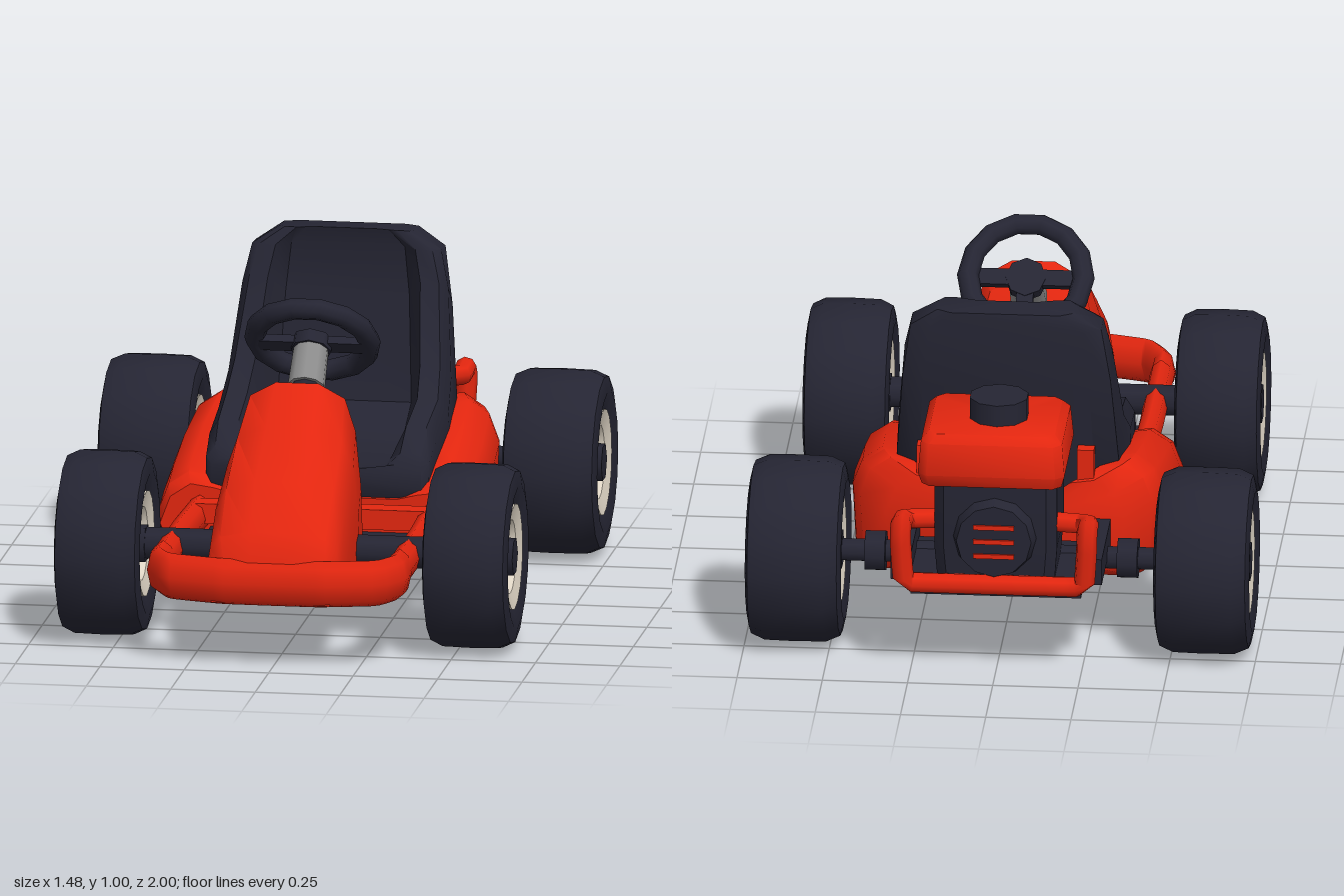
import * as THREE from 'three';
import { toCreasedNormals } from 'three/addons/utils/BufferGeometryUtils.js';

const paint = (name, color) => {
  const m = new THREE.MeshStandardMaterial({ color });
  m.name = name;
  return m;
};

// Closed skin over rings of [x, y, z] points, with fan caps at both ends
function loft(rings, crease = 0.75) {
  const tris = [], n = rings[0].length;
  rings.slice(1).forEach((b, k) => {
    const a = rings[k];
    for (let i = 0; i < n; i++) {
      const j = (i + 1) % n;
      tris.push([a[i], a[j], b[j]], [a[i], b[j], b[i]]);
    }
  });
  const cap = (r, flip) => {
    const c = [0, 1, 2].map(k => r.reduce((s, p) => s + p[k], 0) / n);
    r.forEach((p, i) => {
      const q = r[(i + 1) % n];
      tris.push(flip ? [c, q, p] : [c, p, q]);
    });
  };
  cap(rings[0], true);
  cap(rings[rings.length - 1], false);
  // turn all faces outward, judged by the enclosed volume
  const v = p => new THREE.Vector3(...p);
  const volume = tris.reduce((s, [a, b, c]) => s + v(a).dot(v(b).cross(v(c))), 0);
  if (volume < 0) tris.forEach(t => t.reverse());
  const g = new THREE.BufferGeometry();
  g.setAttribute('position', new THREE.Float32BufferAttribute(tris.flat(2), 3));
  return toCreasedNormals(g, crease);
}

// Completes a half section by mirroring it across x = 0
const mirror = half => [...half, ...half.map(([x, y, z]) => [-x, y, z]).reverse()];

// Section between a lower point q and an upper point p, with [x, t] fractions of width and height
const section = (profile, [pz, py, qz, qy, w]) =>
  mirror(profile.map(([x, t]) => [x * w, qy + (py - qy) * t, qz + (pz - qz) * t]));

function tube(points, r, scaleY = 1, y = 0) {
  const path = new THREE.CatmullRomCurve3(points.map(p => new THREE.Vector3(...p)), false, 'catmullrom', 0.15);
  return new THREE.TubeGeometry(path, 36, r, 8).scale(1, scaleY, 1).translate(0, y, 0);
}

export function createModel() {
  const red = paint('red', 0xe3260f), crimson = paint('crimson', 0xb81c22);
  const dark = paint('charcoal', 0x252533), cream = paint('cream', 0xe0d6c6), grey = paint('grey', 0x8c8c8c);
  const kart = new THREE.Group();
  kart.name = 'goKart';

  const add = (name, geo, mat, pos = [0, 0, 0], parent = kart) => {
    const m = new THREE.Mesh(geo, mat);
    m.name = name;
    m.position.set(...pos);
    parent.add(m);
    return m;
  };
  const box = (name, size, pos, mat, parent) => add(name, new THREE.BoxGeometry(...size), mat, pos, parent);
  const lathe = pts => toCreasedNormals(
    new THREE.LatheGeometry(pts.map(p => new THREE.Vector2(...p)), 16).rotateZ(-Math.PI / 2), 0.7);

  // Wheels: tyre, dished rim and six-sided hub
  function wheel(name, h, x, z) {
    const g = new THREE.Group();
    g.name = name;
    g.position.set(x, 0.278, z);
    g.scale.z = 0.93;
    kart.add(g);
    add('tyre', lathe([[0.155, -h * 0.86], [0.21, -h], [0.256, -h * 0.93], [0.274, -h * 0.64], [0.276, 0],
      [0.274, h * 0.64], [0.256, h * 0.93], [0.21, h], [0.155, h * 0.86]]), dark, [0, 0, 0], g);
    add('rim', lathe([[0, -h * 0.54], [0.085, -h * 0.54], [0.11, -h * 0.82], [0.158, -h * 0.92],
      [0.158, h * 0.92], [0.11, h * 0.82], [0.085, h * 0.54], [0, h * 0.54]]), cream, [0, 0, 0], g);
    add('hub', new THREE.CylinderGeometry(0.058, 0.058, h * 1.85, 6).rotateZ(Math.PI / 2), dark, [0, 0, 0], g);
  }
  for (const s of [1, -1]) {
    const side = s > 0 ? 'Left' : 'Right';
    wheel('front' + side + 'Wheel', 0.127, s * 0.545, 0.58);
    wheel('rear' + side + 'Wheel', 0.141, s * 0.599, -0.655);
    const collar = new THREE.CylinderGeometry(0.062, 0.062, 0.06, 8).rotateZ(Math.PI / 2);
    add('axleCollar' + side, collar, dark, [s * 0.37, 0.28, -0.66]);
    // Chassis rails, rear frame and engine posts
    add('chassisRail' + side, tube([[s * 0.34, 0, 0.05], [s * 0.35, 0, 0.4], [s * 0.35, 0, 0.8]], 0.036, 1.4, 0.272), red);
    box('rearFrame' + side, [0.06, 0.08, 0.4], [s * 0.28, 0.32, -0.68], dark);
    box('enginePost' + side, [0.05, 0.22, 0.04], [s * 0.235, 0.46, -0.53], red);
    box('columnBracket' + side, [0.025, 0.08, 0.08], [s * 0.065, 0.54, 0.395], red);
  }
  const axle = (name, r, len, z) =>
    add(name, new THREE.CylinderGeometry(r, r, len, 8).rotateZ(Math.PI / 2), dark, [0, 0.28, z]);
  axle('frontAxle', 0.048, 0.9, 0.58);
  axle('rearAxle', 0.035, 1, -0.66);

  // Wide body with side pods: z, half width, top, bottom, depth of the recess underneath
  const body = [[0.13, 0.46, 0.355, 0.155, 0], [0.1, 0.47, 0.385, 0.147, 0], [0.07, 0.47, 0.395, 0.145, 0.01],
    [0, 0.47, 0.42, 0.145, 0.01], [-0.2, 0.47, 0.465, 0.145, 0.01], [-0.4, 0.46, 0.505, 0.145, 0.01],
    [-0.43, 0.455, 0.507, 0.147, 0], [-0.5, 0.43, 0.51, 0.16, 0], [-0.56, 0.35, 0.48, 0.2, 0]];
  add('bodyPods', loft(body.map(([z, w, t, b, d]) => mirror([[w - 0.15, b + d, z], [w - 0.13, b, z], [w - 0.06, b, z],
    [w - 0.01, b + 0.05, z], [w, t - 0.12, z], [w - 0.03, t - 0.04, z], [w - 0.09, t, z], [w - 0.16, t - 0.01, z],
    [0.24, 0.33, z]]))), red);

  // Bucket seat: crest z, y; back z, y; half width; hollow depth
  const seat = [[0.115, 0.43, 0.12, 0.34, 0.31, 0.15], [0.09, 0.46, 0.1, 0.31, 0.33, 0.3], [0, 0.52, 0, 0.3, 0.335, 0.45],
    [-0.18, 0.56, -0.3, 0.3, 0.34, 0.45], [-0.28, 0.64, -0.49, 0.4, 0.33, 0.6], [-0.4, 0.86, -0.53, 0.75, 0.305, 0.5],
    [-0.425, 0.95, -0.555, 0.94, 0.28, 0.4], [-0.45, 1.0, -0.56, 0.995, 0.2, 0.15]];
  add('seat', loft(seat.map(s => section([[0.8, 0], [1, 0.2], [1, 0.8], [0.92, 1], [0.74, 1], [0.6, 1 - s[5]]], s)),
    0.85), dark);

  // Sloping nose: top z, y; bottom z, y; half width
  const nose = [[0.975, 0.325, 0.97, 0.2, 0.175], [0.925, 0.405, 0.895, 0.21, 0.2], [0.8, 0.53, 0.75, 0.22, 0.203],
    [0.62, 0.65, 0.55, 0.24, 0.198], [0.47, 0.75, 0.38, 0.26, 0.18], [0.42, 0.715, 0.265, 0.285, 0.157]];
  add('nose', loft(nose.map(s => section([[1, 0], [1, 0.35], [0.94, 0.7], [0.78, 0.91], [0.35, 1]], s)), 0.9), red);

  // Front bumper, cross bar and floor
  add('frontBumper', tube([[0.35, 0, 0.76], [0.35, 0, 0.84], [0.305, 0, 0.92], [0.14, 0, 0.963],
    [-0.14, 0, 0.963], [-0.305, 0, 0.92], [-0.35, 0, 0.84], [-0.35, 0, 0.76]], 0.036, 1.9, 0.264), red);
  box('crossBar', [0.68, 0.06, 0.07], [0, 0.29, 0.195], red);
  box('floorPan', [0.62, 0.03, 0.4], [0, 0.215, 0.3], dark);
  box('floorUnderside', [0.62, 0.009, 0.4], [0, 0.196, 0.3], crimson);

  // Steering: the group's y axis runs up the column towards the driver
  const steering = new THREE.Group();
  steering.name = 'steering';
  steering.position.set(0, 0.815, 0.185);
  steering.rotation.x = -Math.PI / 4;
  kart.add(steering);
  add('steeringWheel', new THREE.TorusGeometry(0.17, 0.032, 8, 14).rotateX(Math.PI / 2), dark, [0, 0, 0], steering);
  add('steeringHub', new THREE.CylinderGeometry(0.06, 0.06, 0.04, 8), dark, [0, -0.02, 0], steering);
  box('crossSpoke', [0.32, 0.025, 0.05], [0, -0.015, 0], dark, steering);
  box('lowerSpoke', [0.05, 0.025, 0.16], [0, -0.015, -0.09], dark, steering);
  add('columnCollar', new THREE.CylinderGeometry(0.052, 0.055, 0.13, 10), grey, [0, -0.1, 0], steering);
  add('columnShaft', new THREE.CylinderGeometry(0.045, 0.045, 0.24, 8), dark, [0, -0.25, 0], steering);

  // Engine: block, red cover, filler cap and rear fan with slats
  const slab = (y, hx, hz, c) => mirror([[hx - c, y, -hz], [hx, y, c - hz], [hx, y, hz - c], [hx - c, y, hz]]);
  add('engineBlock', loft([slab(0.27, 0.17, 0.14, 0.03), slab(0.4, 0.18, 0.155, 0.03), slab(0.62, 0.18, 0.155, 0.03)]),
    dark, [0, 0, -0.77]);
  add('engineCover', loft([slab(0.602, 0.205, 0.178, 0.025), slab(0.64, 0.215, 0.192, 0.025), slab(0.735, 0.207, 0.18, 0.025),
    slab(0.76, 0.185, 0.16, 0.025)], 0.8), red, [0.01, 0, -0.767]);
  add('fillerCap', new THREE.CylinderGeometry(0.088, 0.088, 0.075, 10), dark, [0, 0.787, -0.77]);
  add('engineFan', new THREE.CylinderGeometry(0.11, 0.125, 0.05, 12).rotateX(-Math.PI / 2), dark, [0, 0.44, -0.94]);
  for (let i = -1; i <= 1; i++) box('fanSlat', [0.12, 0.014, 0.008], [0, 0.44 + i * 0.045, -0.967], red);
  box('engineMount', [0.5, 0.06, 0.3], [0, 0.27, -0.74], dark);

  // Rear bumper loop
  const loop = [[0.17, 0.47, -0.865], [0.27, 0.47, -0.88], [0.273, 0.48, -0.963], [0.273, 0.43, -0.968],
    [0.265, 0.315, -0.96], [0.23, 0.3, -0.95]];
  add('rearBumper', tube([...loop, ...loop.map(([x, y, z]) => [-x, y, z]).reverse()], 0.031), red);
  return kart;
}
